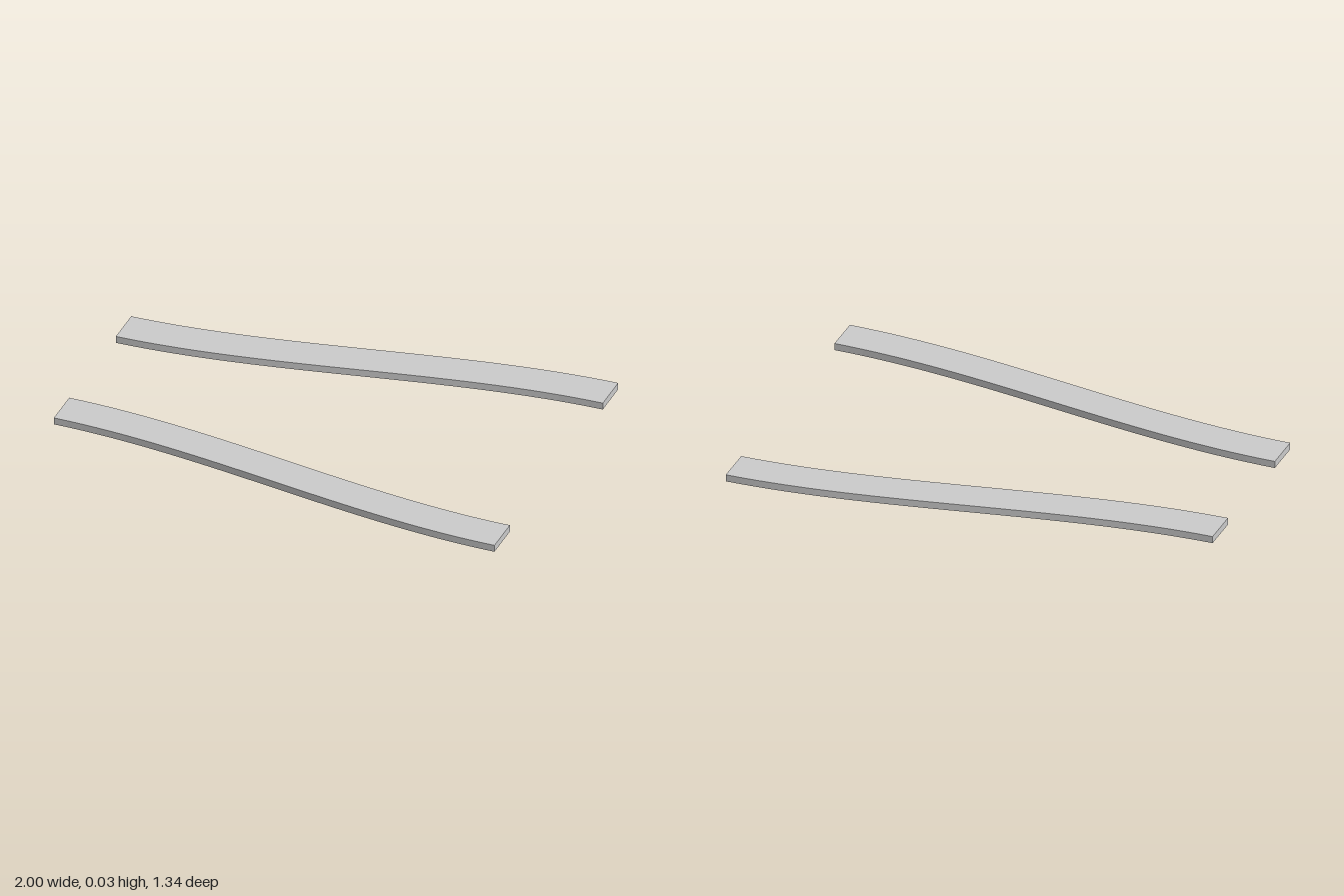
import * as THREE from 'three';

const HEIGHT = 0.03;
const WIDTH = 0.166;
const INNER_START = 0.252; // inner edge distance from the centre line at x = -1
const INNER_END = 0.502;   // and at x = +1

// Plan outline of one S-curved strip; side is +1 (front) or -1 (back)
function stripShape(side) {
  const a = INNER_START * side, b = INNER_END * side, w = WIDTH * side;
  const shape = new THREE.Shape();
  shape.moveTo(-1, a);
  shape.bezierCurveTo(-1 / 3, a, 1 / 3, b, 1, b);
  shape.lineTo(1, b + w);
  shape.bezierCurveTo(1 / 3, b + w, -1 / 3, a + w, -1, a + w);
  shape.closePath();
  return shape;
}

export function createModel() {
  const group = new THREE.Group();
  group.name = 'curvedRails';
  const material = new THREE.MeshStandardMaterial({ color: 0xcccccc });

  // Mirrored pair of flat rails
  for (const [name, side] of [['frontRail', 1], ['backRail', -1]]) {
    const geometry = new THREE.ExtrudeGeometry(stripShape(side), {
      depth: HEIGHT, bevelEnabled: false, curveSegments: 32,
    });
    // Lay the plan flat: shape y becomes z, extrusion runs down from the top
    geometry.rotateX(Math.PI / 2).translate(0, HEIGHT, 0);
    const rail = new THREE.Mesh(geometry, material);
    rail.name = name;
    group.add(rail);
  }
  return group;
}
